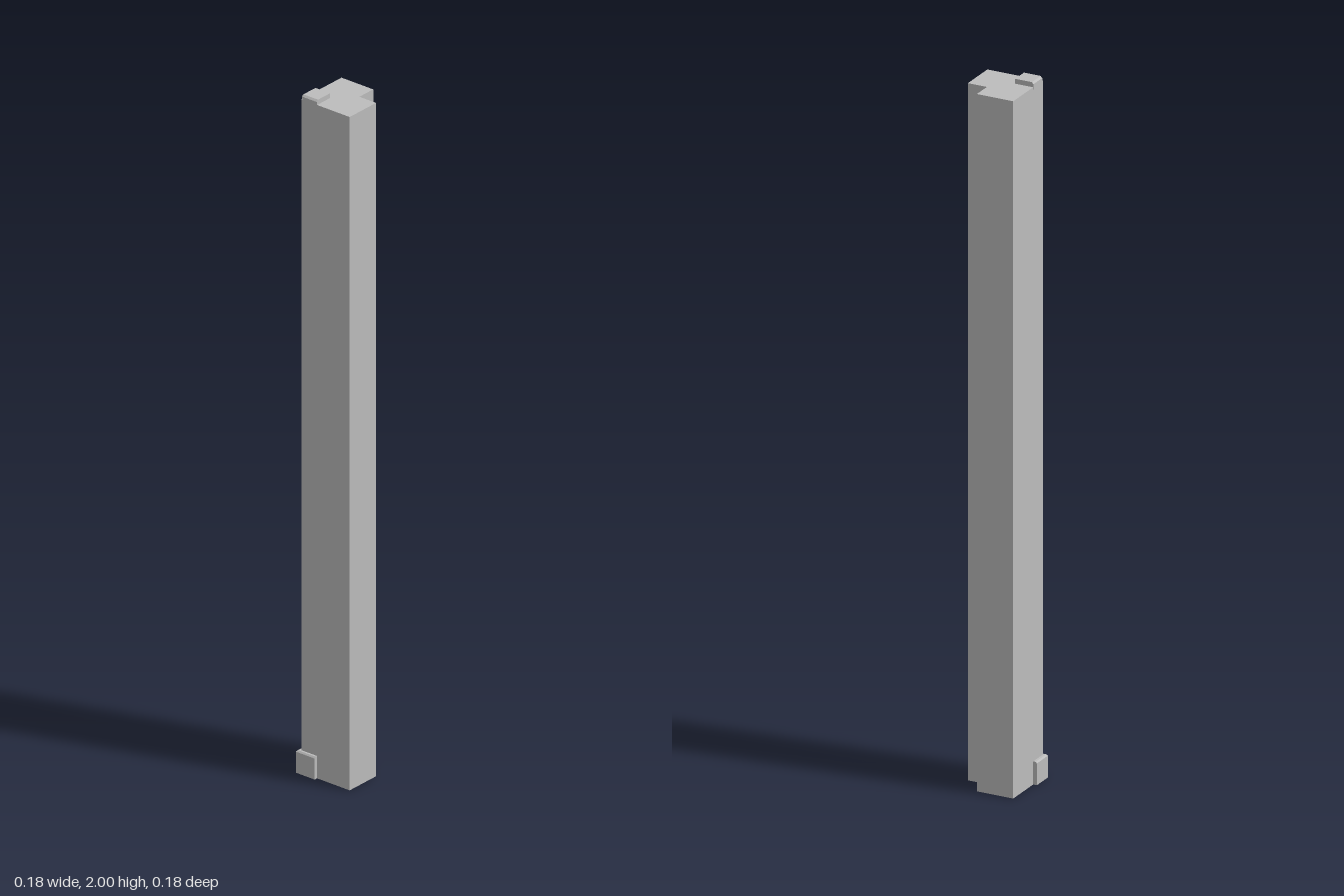
import * as THREE from 'three';

const grey = new THREE.MeshStandardMaterial({ color: 0xbcbcbc });
grey.name = 'plain grey';

// Upright prism from an outline of [x, z] points
function prism(points, y, height, steps = 1) {
  const shape = new THREE.Shape(points.map(([x, z]) => new THREE.Vector2(x, -z)));
  const geo = new THREE.ExtrudeGeometry(shape, { depth: height, steps, bevelEnabled: false });
  geo.rotateX(-Math.PI / 2);
  geo.translate(0, y, 0);
  return geo;
}

// Block whose outer (-x and +z) top edges are bevelled
function bevelledBlock(x0, x1, z0, z1, y, height, bevel, corner) {
  const outline = [[x0, z0], [x0, z1 - corner], [x0 + corner, z1], [x1, z1], [x1, z0]];
  const geo = prism(outline, y, height, 2);
  const pos = geo.attributes.position;
  for (let i = 0; i < pos.count; i++) {
    const t = (pos.getY(i) - y) / height;
    if (t > 0.75) {
      pos.setX(i, Math.max(pos.getX(i), x0 + bevel));
      pos.setZ(i, Math.min(pos.getZ(i), z1 - bevel));
    } else if (t > 0.25) {
      pos.setY(i, y + height - bevel);
    }
  }
  geo.computeVertexNormals();
  return geo;
}

export function createModel() {
  const group = new THREE.Group();
  group.name = 'cornerPost';
  const add = (name, geo) => {
    const mesh = new THREE.Mesh(geo, grey);
    mesh.name = name;
    group.add(mesh);
  };

  // L-shaped column with the notch at the back left
  add('column', prism([
    [-0.078, -0.089], [-0.078, 0.077], [0.088, 0.077],
    [0.088, -0.032], [0.031, -0.032], [0.031, -0.089],
  ], 0, 1.986));

  // Small cap on the front right corner
  add('cap', bevelledBlock(-0.079, -0.024, 0.023, 0.078, 1.98, 0.02, 0.005, 0.006));

  // Foot block wrapping the same corner
  add('foot', bevelledBlock(-0.089, -0.024, 0.023, 0.087, 0, 0.066, 0.004, 0.001));

  return group;
}
